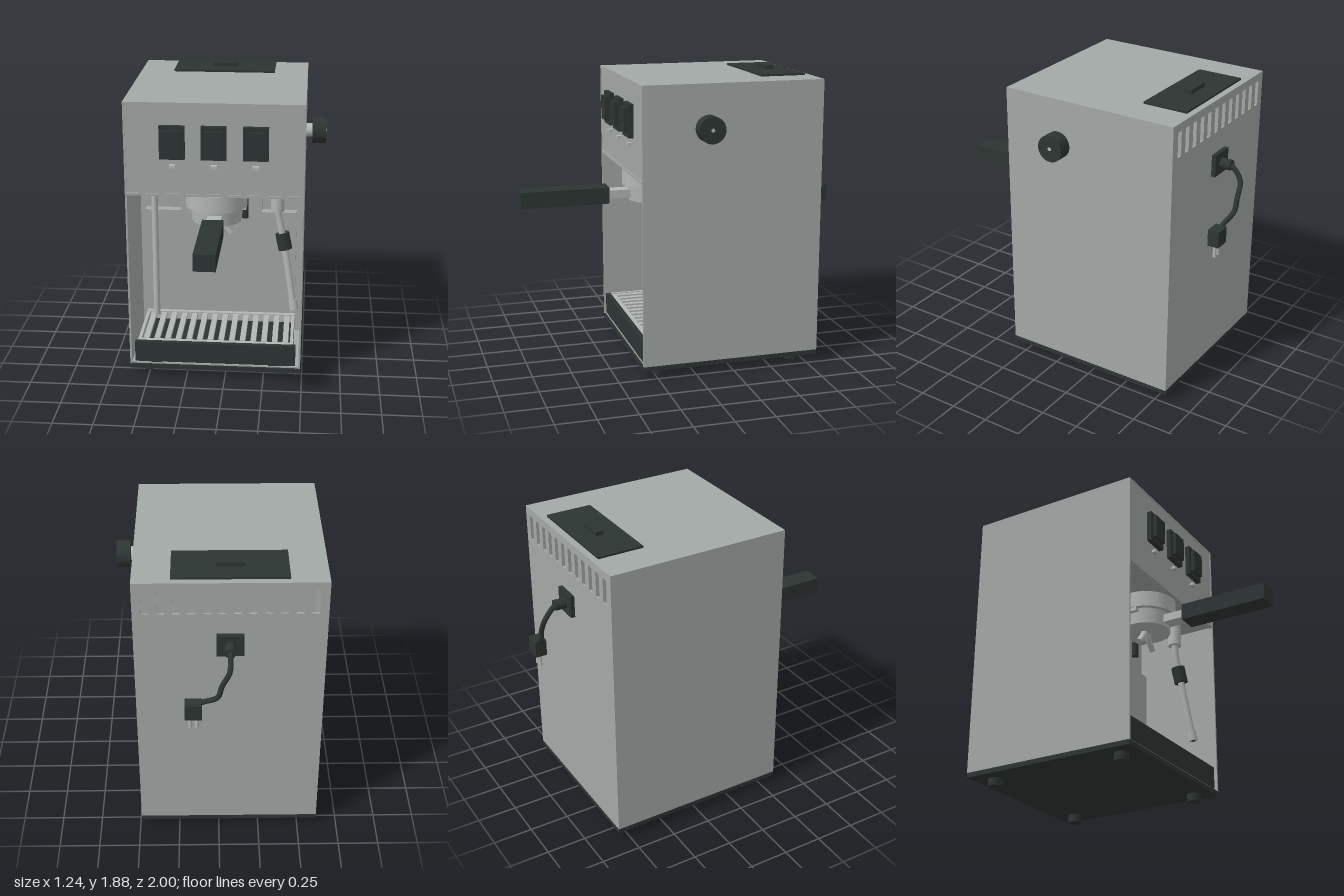
import * as THREE from 'three';

const mat = (name, color) => {
  const m = new THREE.MeshStandardMaterial({ color });
  m.name = name;
  return m;
};

export function createModel() {
  const root = new THREE.Group();
  root.name = 'espressoMachine';
  const steel = mat('brushedSteel', 0xa3a9a7);
  const chrome = mat('chrome', 0xb2b7b6);
  const dark = mat('darkPlastic', 0x2d3533);

  const add = (name, geo, material, x = 0, y = 0, z = 0) => {
    const m = new THREE.Mesh(geo, material);
    m.name = name;
    m.position.set(x, y, z);
    root.add(m);
    return m;
  };
  // box from its limits along each axis
  const box = (name, material, x0, x1, y0, y1, z0, z1) =>
    add(name, new THREE.BoxGeometry(x1 - x0, y1 - y0, z1 - z0), material,
      (x0 + x1) / 2, (y0 + y1) / 2, (z0 + z1) / 2);
  // cylinder between two points
  const rod = (name, material, a, b, r0, r1 = r0, sides = 32) => {
    const A = new THREE.Vector3(...a), B = new THREE.Vector3(...b);
    const m = add(name, new THREE.CylinderGeometry(r1, r0, A.distanceTo(B), sides), material);
    m.position.copy(A).lerp(B, 0.5);
    m.quaternion.setFromUnitVectors(new THREE.Vector3(0, 1, 0), B.sub(A).normalize());
    return m;
  };
  const tube = (name, material, pts, r) =>
    add(name, new THREE.TubeGeometry(
      new THREE.CatmullRomCurve3(pts.map(p => new THREE.Vector3(...p)), false, 'centripetal'),
      40, r, 14), material);

  const L = -0.62, R = 0.49, F = 0.34, B = -0.82, T = 1.84, C = -0.065, t = 0.012;

  // housing
  box('rightWall', steel, L, L + t, 0.08, T, B, F);
  box('leftWall', steel, R - t, R, 0.08, T, B, F);
  box('topPanel', steel, L + t, R - t, T - t, T, B + t, F);
  box('frontPanel', steel, L + t, R - t, 1.25, T - t, F - 0.02, F - 0.004);
  box('frontPanelLip', steel, L + t, R - t, 1.245, 1.262, F - 0.02, F + 0.002);
  box('cavityCeiling', steel, L + t, R - t, 1.25, 1.262, -0.24, F - 0.02);
  box('cavityBack', steel, L + t, R - t, 0.08, T - t, -0.24, -0.22);
  box('cavityFloor', steel, L + t, R - t, 0.08, 0.09, -0.22, F - 0.01);
  box('splashPanel', steel, -0.57, 0.44, 0.09, 0.975, -0.22, -0.16);
  box('boilerCover', steel, -0.33, 0.21, 0.975, 1.25, -0.22, -0.16);
  box('basePlate', dark, L, R, 0.05, 0.08, B, F);

  // back panel with a row of vent slots
  const back = new THREE.Shape();
  back.moveTo(L + t, 0.08).lineTo(R - t, 0.08).lineTo(R - t, T).lineTo(L + t, T).closePath();
  for (let i = 0; i < 12; i++) {
    const x = C + (i - 5.5) * 0.0875, w = 0.021;
    const slot = new THREE.Path();
    slot.moveTo(x - w, 1.635).lineTo(x - w, 1.79).lineTo(x + w, 1.79).lineTo(x + w, 1.635).closePath();
    back.holes.push(slot);
  }
  add('backPanel', new THREE.ExtrudeGeometry(back, { depth: t, bevelEnabled: false }), steel, 0, 0, B);

  // feet
  for (const x of [-0.51, 0.38]) for (const z of [0.22, -0.685])
    rod('foot', dark, [x, 0, z], [x, 0.052, z], 0.044);

  // water tank lid
  box('tankLid', dark, -0.40, 0.27, T, T + 0.012, -0.78, -0.49);
  box('tankLidHandle', dark, -0.15, 0.015, T + 0.012, T + 0.038, -0.665, -0.615);

  // rocker switches and indicator lamps
  for (const x of [C - 0.255, C, C + 0.257]) {
    box('switchFrame', dark, x - 0.078, x + 0.078, 1.49, 1.70, F - 0.006, 0.367);
    box('switchRocker', dark, x - 0.055, x + 0.055, 1.52, 1.675, 0.367, 0.392);
    box('indicatorLamp', chrome, x - 0.02, x + 0.02, 1.434, 1.452, F - 0.006, 0.362);
  }

  // steam knob
  rod('knobShaft', chrome, [R - 0.005, 1.575, -0.062], [0.535, 1.575, -0.062], 0.043);
  rod('knob', dark, [0.53, 1.575, -0.062], [0.615, 1.575, -0.062], 0.083);
  rod('knobDot', chrome, [0.61, 1.575, -0.062], [0.617, 1.575, -0.062], 0.012);

  // brew head and filter holder
  const hz = 0.13;
  rod('brewHeadTop', chrome, [C, 1.22, hz], [C, 1.25, hz], 0.15, 0.15, 48);
  rod('brewHead', chrome, [C, 1.13, hz], [C, 1.235, hz], 0.196, 0.196, 48);
  rod('filterBasket', chrome, [C, 1.03, hz], [C, 1.14, hz], 0.158, 0.168, 48);
  for (const s of [-1, 1]) {
    box('basketLug', chrome, C + s * 0.165 - 0.025, C + s * 0.165 + 0.025, 1.105, 1.14, hz - 0.04, hz + 0.04);
    tube('spout', chrome, [[C + s * 0.01, 1.04, hz], [C + s * 0.03, 1.005, hz], [C + s * 0.085, 0.935, hz]], 0.02);
    rod('spoutEnd', chrome, [C + s * 0.08, 0.941, hz], [C + s * 0.086, 0.934, hz], 0.02);
  }
  box('handleNeck', chrome, C - 0.045, C + 0.045, 1.053, 1.105, 0.27, 0.44);
  box('handle', dark, C - 0.066, C + 0.066, 1.025, 1.13, 0.43, 1.0);

  // pipes in the cavity
  rod('supportPole', chrome, [-0.49, 0.265, -0.05], [-0.49, 1.25, -0.05], 0.021);
  rod('drainPipe', dark, [0.105, 0.975, -0.05], [0.105, 1.25, -0.05], 0.022);

  // steam wand
  rod('wandCollar', chrome, [0.323, 1.095, 0.13], [0.323, 1.25, 0.13], 0.043);
  tube('wandPipe', chrome, [[0.323, 1.11, 0.13], [0.33, 1.06, 0.13], [0.352, 0.95, 0.135],
    [0.37, 0.86, 0.145], [0.432, 0.48, 0.19]], 0.022);
  rod('wandGrip', dark, [0.376, 0.84, 0.147], [0.354, 0.945, 0.135], 0.045);
  rod('wandTip', chrome, [0.44, 0.44, 0.195], [0.43, 0.505, 0.187], 0.028);
  rod('wandNozzle', dark, [0.4405, 0.437, 0.1955], [0.44, 0.442, 0.195], 0.012);

  // drip tray with grille
  box('trayFront', dark, -0.587, 0.457, 0.095, 0.235, 0.30, 0.33);
  for (const x of [C - 0.39, C + 0.39]) box('trayTab', dark, x - 0.045, x + 0.045, 0.08, 0.10, 0.30, 0.328);
  box('trayFloor', dark, -0.57, 0.44, 0.095, 0.19, -0.13, 0.30);
  box('trayBackRim', chrome, -0.57, 0.44, 0.19, 0.245, -0.16, -0.13);
  box('trayFrontRim', chrome, -0.57, 0.44, 0.19, 0.235, 0.27, 0.30);
  for (const x of [-0.57, 0.42]) box('traySideRim', chrome, x, x + 0.02, 0.095, 0.24, -0.13, 0.30);
  for (let i = 0; i < 14; i++) {
    const x = C + (i - 6.5) * 0.07;
    box('grilleBar', chrome, x - 0.018, x + 0.018, 0.215, 0.238, -0.13, 0.27);
  }

  // power cord
  box('cordPlate', dark, C - 0.08, C + 0.08, 1.36, 1.50, B - 0.027, B);
  rod('cordBoss', dark, [C, 1.427, B - 0.02], [C, 1.427, -0.915], 0.033);
  tube('cord', dark, [[C, 1.427, -0.90], [C, 1.42, -0.92], [C + 0.005, 1.345, -0.978],
    [C + 0.05, 1.25, -0.987], [0.01, 1.17, -0.985], [0.10, 1.115, -0.96], [0.14, 1.08, -0.95]], 0.016);
  box('plug', dark, 0.10, 0.20, 1.0, 1.105, -0.985, -0.912);
  for (const x of [0.13, 0.17]) rod('plugPin', chrome, [x, 0.92, -0.948], [x, 1.01, -0.948], 0.011);

  return root;
}
